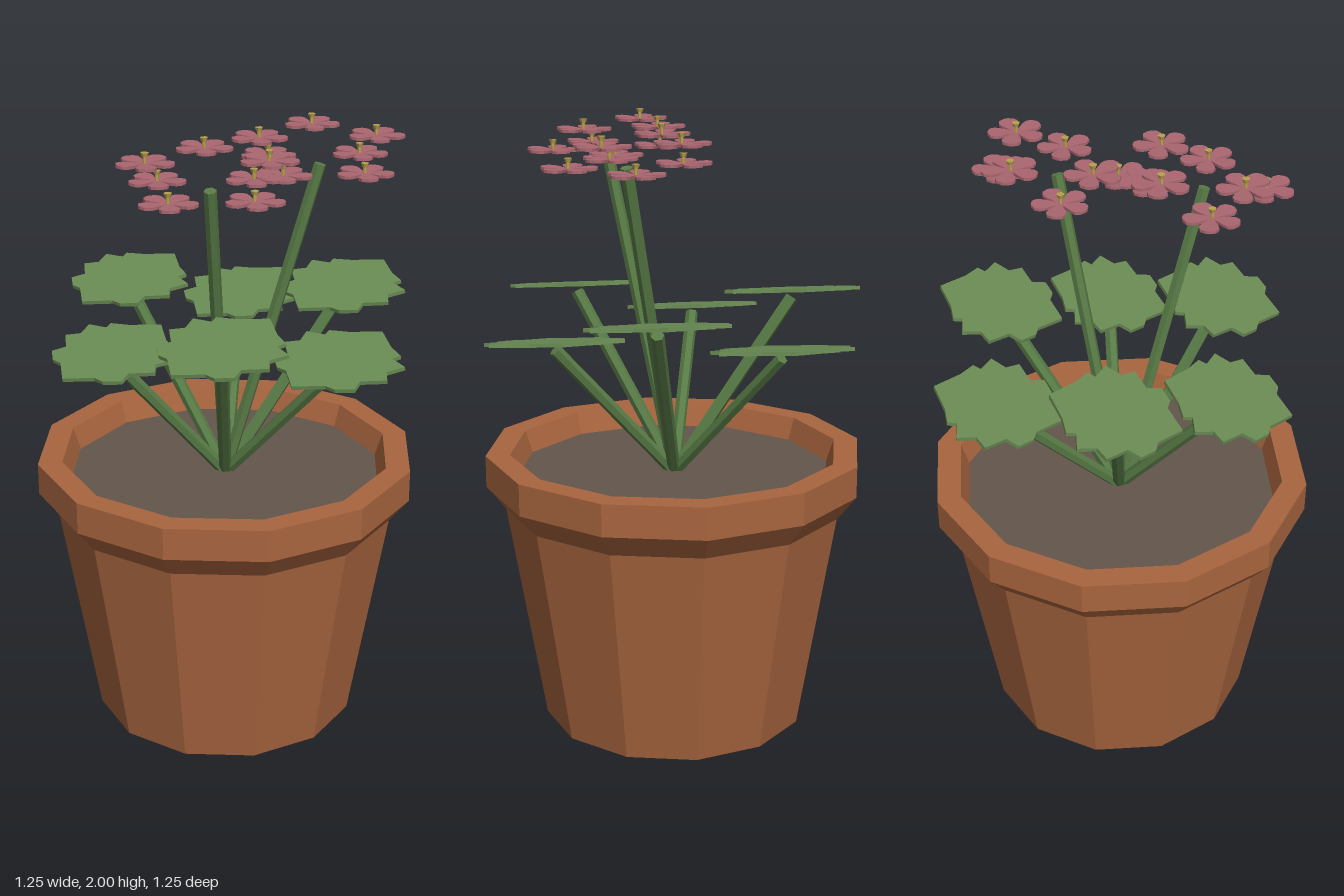
import * as THREE from 'three';
import { mergeGeometries } from 'three/addons/utils/BufferGeometryUtils.js';

const material = (name, color) => {
  const m = new THREE.MeshStandardMaterial({ color, flatShading: true });
  m.name = name;
  return m;
};

const V = (x, y, z) => new THREE.Vector3(x, y, z);

// Straight six-sided stalk between two points
function stalk(from, to, radius) {
  const dir = to.clone().sub(from);
  const g = new THREE.CylinderGeometry(radius, radius, dir.length(), 6);
  g.applyQuaternion(new THREE.Quaternion().setFromUnitVectors(V(0, 1, 0), dir.normalize()));
  const mid = from.clone().add(to).multiplyScalar(0.5);
  return g.translate(mid.x, mid.y, mid.z);
}

// Flat slab lying in the xz plane, centred on its thickness
function slab(points, thickness) {
  const shape = new THREE.Shape(points.map(([x, y]) => new THREE.Vector2(x, y)));
  const g = new THREE.ExtrudeGeometry(shape, { depth: thickness, bevelEnabled: false });
  return g.translate(0, 0, -thickness / 2).rotateX(-Math.PI / 2);
}

export function createModel() {
  const model = new THREE.Group();
  model.name = 'pottedFlower';
  const terracotta = material('terracotta', 0xa9653f);
  const soilBrown = material('soil brown', 0x63554c);
  const stemGreen = material('stem green', 0x587b46);
  const leafGreen = material('leaf green', 0x6a8c54);
  const petalPink = material('petal pink', 0xaa6670);
  const pistilYellow = material('pistil yellow', 0xb8a04e);

  const add = (parent, name, geometry, mat) => {
    const mesh = new THREE.Mesh(geometry, mat);
    mesh.name = name;
    parent.add(mesh);
    return mesh;
  };

  // Pot: twelve-sided, flared, with a thick rim and hollow top
  const profile = [[0, 0], [0.44, 0], [0.562, 0.74], [0.625, 0.82], [0.625, 0.925],
    [0.545, 0.925], [0.51, 0.82]].map(([r, y]) => new THREE.Vector2(r, y));
  add(model, 'pot', new THREE.LatheGeometry(profile, 12), terracotta);

  // Soil
  const soil = new THREE.CircleGeometry(0.52, 12).rotateX(-Math.PI / 2);
  add(model, 'soil', soil, soilBrown).position.y = 0.85;

  // Leaves: one serrated outline, mirrored across its long axis
  const edge = [[-0.145, 0.085], [-0.145, 0.125], [-0.11, 0.175], [-0.066, 0.157], [-0.016, 0.223],
    [0.02, 0.187], [0.075, 0.213], [0.092, 0.145], [0.12, 0.155], [0.145, 0.093]];
  const outline = [[-0.205, 0], ...edge.map(([x, y]) => [x, -y]), [0.205, 0], ...[...edge].reverse()];
  const leafGeo = slab(outline, 0.012).rotateZ(0.19);
  const root = V(0, 0.84, 0);
  const leaves = [
    [-0.065, 1.43, -0.405], [0.33, 1.323, -0.283], [0.413, 1.43, 0.12],
    [0.11, 1.323, 0.4], [-0.275, 1.43, 0.285], [-0.367, 1.323, -0.123],
  ];
  for (const [x, y, z] of leaves) {
    const group = new THREE.Group();
    group.name = 'leafWithStem';
    add(group, 'leaf', leafGeo, leafGreen).position.set(x, y, z);
    add(group, 'leafStem', stalk(root, V(x, y - 0.025, z), 0.021), stemGreen);
    model.add(group);
  }

  // Flower parts: five petals, a short style and a small head
  const half = [[0.009, 0.012], [0.026, 0.048], [0.031, 0.066], [0.024, 0.082]];
  const petalOutline = [[0, 0], ...half, [0.006, 0.09],
    [-0.006, 0.09], ...[...half].reverse().map(([x, y]) => [-x, y])];
  const petals = [];
  for (let i = 0; i < 5; i++) {
    petals.push(slab(petalOutline, 0.009).rotateX(0.05).rotateY(i * Math.PI * 2 / 5));
  }
  const petalGeo = mergeGeometries(petals);
  const styleGeo = new THREE.CylinderGeometry(0.006, 0.006, 0.028, 6).translate(0, 0.014, 0);
  const headGeo = new THREE.CylinderGeometry(0.013, 0.009, 0.012, 6).translate(0, 0.03, 0);

  // Two matching flower clusters: [x, z, raised] relative to the stem top
  const blooms = [[-0.14, -0.13, 1], [-0.05, -0.183, 0], [0.11, -0.15, 1], [-0.187, 0.027, 0],
    [0.013, 0.178, 0], [0.18, -0.003, 0], [0.15, 0.094, 1]];
  for (const side of [-1, 1]) {
    const top = V(side * 0.23, 1.885, 0.185);
    add(model, 'flowerStem', stalk(root, top, 0.02), stemGreen);
    for (const [dx, dz, raised] of blooms) {
      const flower = new THREE.Group();
      flower.name = 'flower';
      add(flower, 'petals', petalGeo, petalPink);
      add(flower, 'style', styleGeo, pistilYellow);
      add(flower, 'pistilHead', headGeo, pistilYellow);
      flower.position.set(top.x + dx, raised ? 1.964 : 1.884, top.z + dz);
      model.add(flower);
    }
  }
  return model;
}
